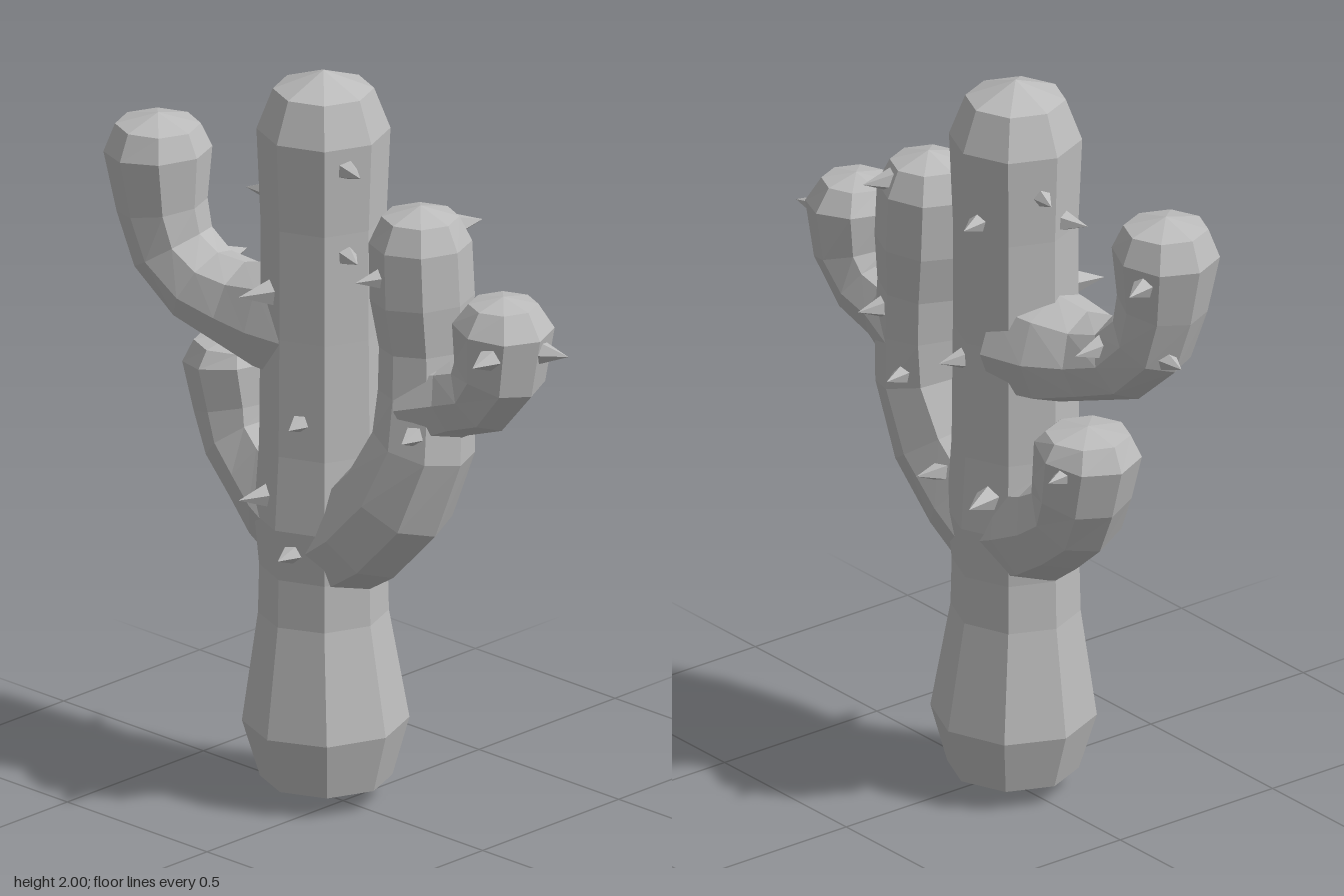
import * as THREE from 'three';

const SIDES = 8;

// Sweep an octagon along rows of [x, y, z, radius]; radius 0 closes to a point
function sweep(rows) {
  const pts = rows.map(r => new THREE.Vector3(r[0], r[1], r[2]));
  const last = pts.length - 1;
  const pos = [], index = [];
  pts.forEach((p, i) => {
    const t = pts[Math.min(i + 1, last)].clone().sub(pts[Math.max(i - 1, 0)]).normalize();
    const side = new THREE.Vector3(1, 0, 0).addScaledVector(t, -t.x).normalize();
    const nrm = side.clone().cross(t);
    for (let k = 0; k < SIDES; k++) {
      const a = k / SIDES * Math.PI * 2, r = rows[i][3];
      const v = p.clone().addScaledVector(side, Math.cos(a) * r).addScaledVector(nrm, Math.sin(a) * r);
      pos.push(v.x, v.y, v.z);
    }
  });
  for (let i = 0; i < last; i++) {
    for (let k = 0; k < SIDES; k++) {
      const a = i * SIDES + k, b = i * SIDES + (k + 1) % SIDES;
      if (rows[i][3] > 0) index.push(a, a + SIDES, b);
      if (rows[i + 1][3] > 0) index.push(b, a + SIDES, b + SIDES);
    }
  }
  const g = new THREE.BufferGeometry();
  g.setAttribute('position', new THREE.Float32BufferAttribute(pos, 3));
  g.setIndex(index);
  g.computeVertexNormals();
  return g;
}

export function createModel() {
  const root = new THREE.Group();
  root.name = 'cactus';
  const skin = new THREE.MeshStandardMaterial({ color: 0xbcbcbc, flatShading: true });
  skin.name = 'cactusGrey';

  const add = (name, geo, parent = root) => {
    const m = new THREE.Mesh(geo, skin);
    m.name = name;
    parent.add(m);
    return m;
  };

  // Trunk, wide at the foot, domed on top
  add('trunk', sweep([
    [0, 0.005, -0.06, 0], [0, 0.06, -0.06, 0.17], [0, 0.215, -0.062, 0.215],
    [0, 0.51, -0.07, 0.168], [0, 0.64, -0.07, 0.165], [0, 0.78, -0.07, 0.178],
    [0, 0.98, -0.07, 0.165], [0, 1.3, -0.07, 0.162], [0, 1.6, -0.07, 0.162],
    [0, 1.84, -0.07, 0.172], [0, 1.95, -0.07, 0.13], [0, 2, -0.07, 0],
  ]));

  // Front arm
  add('frontArm', sweep([
    [0, 0.7, -0.03, 0.14], [0, 0.78, 0.08, 0.15], [0.01, 0.9, 0.195, 0.15],
    [0.025, 1.06, 0.265, 0.135], [0.035, 1.2, 0.265, 0.125], [0.04, 1.32, 0.257, 0.12],
    [0.04, 1.45, 0.245, 0.135], [0.04, 1.6, 0.238, 0.133], [0.04, 1.67, 0.238, 0.1],
    [0.04, 1.7, 0.238, 0],
  ]));

  // Offshoot of the front arm
  add('frontOffshoot', sweep([
    [0.03, 1.18, 0.27, 0.13], [0.035, 1.215, 0.38, 0.105], [0.04, 1.245, 0.465, 0.108],
    [0.04, 1.32, 0.522, 0.12], [0.04, 1.45, 0.535, 0.132], [0.04, 1.51, 0.535, 0.09],
    [0.04, 1.53, 0.535, 0],
  ]));

  // Upper back arm
  add('upperBackArm', sweep([
    [0, 1.29, -0.1, 0.165], [-0.02, 1.29, -0.22, 0.15], [-0.045, 1.3, -0.33, 0.12],
    [-0.065, 1.33, -0.44, 0.112], [-0.08, 1.41, -0.53, 0.112], [-0.09, 1.52, -0.56, 0.118],
    [-0.09, 1.67, -0.575, 0.14], [-0.09, 1.74, -0.575, 0.11], [-0.09, 1.77, -0.575, 0],
  ]));

  // Lower back arm
  add('lowerBackArm', sweep([
    [0, 0.74, -0.08, 0.15], [0.015, 0.79, -0.19, 0.15], [0.03, 0.84, -0.29, 0.13],
    [0.04, 0.9, -0.37, 0.125], [0.05, 0.98, -0.405, 0.13], [0.05, 1.1, -0.43, 0.14],
    [0.05, 1.145, -0.43, 0.11], [0.05, 1.165, -0.43, 0],
  ]));

  // Spines: tip position, then the direction each one points
  const spines = [
    [0.21, 1.65, -0.12, 1, 0, -0.3], [0.22, 1.245, -0.03, 1, 0, 0.2],
    [0.225, 0.88, -0.16, 1, 0, -0.3], [0.19, 0.87, 0.1, 1, 0, 0.2],
    [0.2, 1.1, 0.21, 1, 0, -0.2], [0.215, 1.265, 0.31, 1, 0, 0.2],
    [0.21, 1.63, 0.295, 1, 0, 0.3], [0.1, 1.38, -0.44, 1, 0, 0],
    [0.09, 1.62, -0.65, 1, 0, -0.4], [0.22, 1.07, -0.48, 1, 0, -0.2],
    [-0.08, 1.78, 0.14, -0.3, 0, 1], [-0.08, 1.54, 0.13, -0.4, 0, 1],
    [0.05, 1.73, -0.28, 0.3, 0, -1], [-0.07, 1.64, -0.28, -0.4, 0, -1],
    [0.09, 1.4, 0.72, 0.3, 0, 1], [-0.14, 1.4, 0.6, -1, 0, 0.2],
    [-0.14, 1.12, 0.345, -1, 0, 0.3], [-0.14, 1.52, 0.18, -1, 0, -0.3],
    [-0.22, 1.41, -0.16, -1, 0, -0.4], [-0.2, 1.08, 0, -1, 0, 0.3],
    [-0.22, 0.85, -0.16, -1, 0, -0.3], [-0.22, 0.72, -0.02, -1, 0, 0.2],
    [-0.05, 1.39, -0.69, 0.1, 0, -1],
  ];
  const cone = new THREE.ConeGeometry(0.04, 0.1, 5);
  cone.translate(0, -0.05, 0);
  const group = new THREE.Group();
  group.name = 'spines';
  root.add(group);
  const up = new THREE.Vector3(0, 1, 0);
  for (const [x, y, z, dx, dy, dz] of spines) {
    const m = add('spine', cone, group);
    m.position.set(x, y, z);
    m.quaternion.setFromUnitVectors(up, new THREE.Vector3(dx, dy, dz).normalize());
  }
  return root;
}
